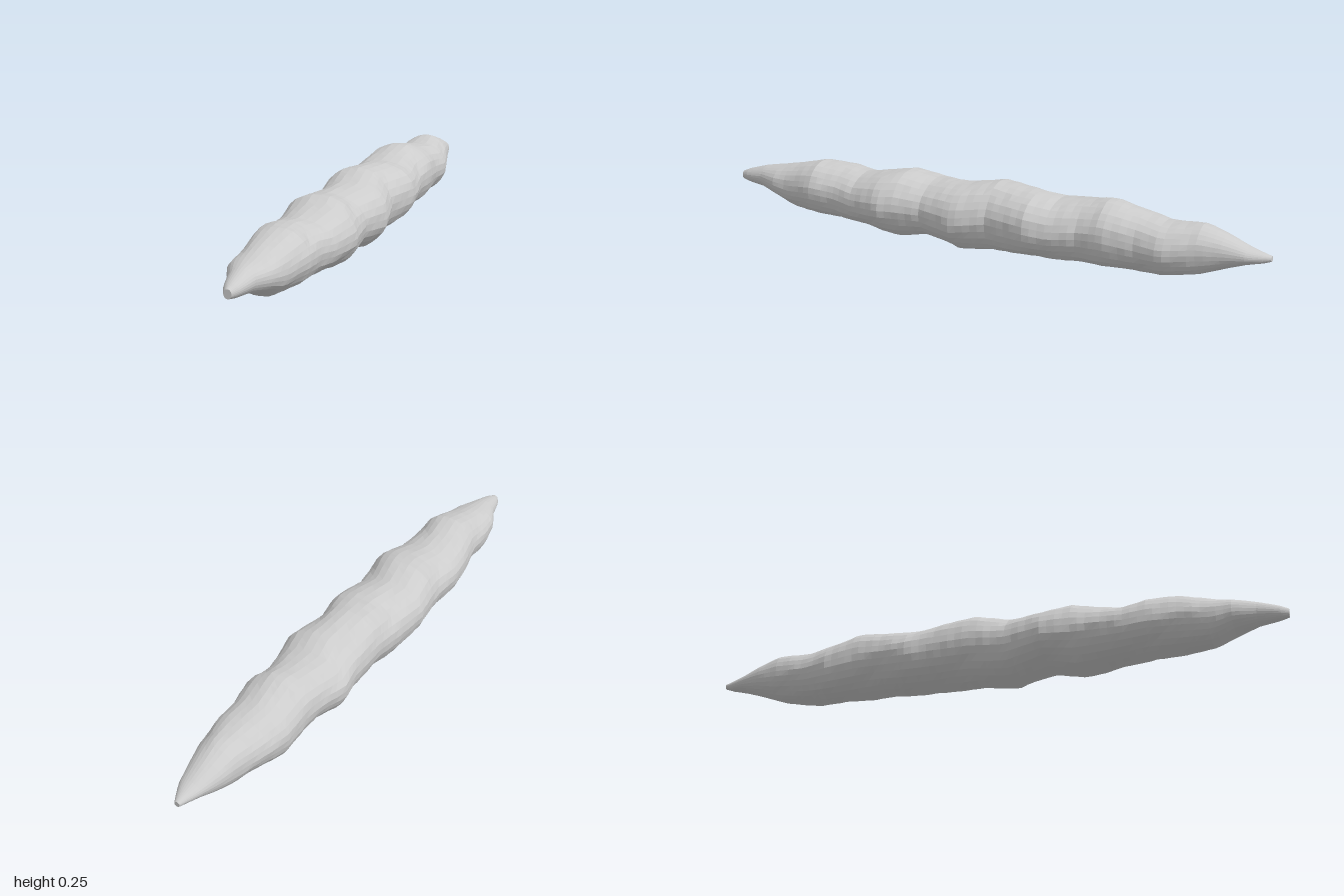
import * as THREE from 'three';

// Outline stations along the loaf: z, left x, right x, bottom y, top y
const STATIONS = [
  [1, -0.012, 0.014, 0.115, 0.145],
  [0.97, -0.028, 0.028, 0.108, 0.158],
  [0.9, -0.048, 0.045, 0.1, 0.178],
  [0.83, -0.084, 0.076, 0.08, 0.19],
  [0.76, -0.095, 0.085, 0.045, 0.205],
  [0.65, -0.103, 0.112, 0.044, 0.232],
  [0.55, -0.125, 0.108, 0.038, 0.225],
  [0.47, -0.132, 0.122, 0.03, 0.213],
  [0.36, -0.13, 0.148, 0.022, 0.235],
  [0.3, -0.136, 0.135, 0.014, 0.245],
  [0.2, -0.15, 0.12, 0.03, 0.226],
  [0.07, -0.133, 0.146, 0.004, 0.232],
  [-0.05, -0.13, 0.118, 0.016, 0.252],
  [-0.2, -0.132, 0.145, 0.022, 0.24],
  [-0.28, -0.146, 0.13, 0.018, 0.226],
  [-0.38, -0.126, 0.112, 0.028, 0.236],
  [-0.46, -0.122, 0.121, 0.026, 0.25],
  [-0.58, -0.122, 0.102, 0.022, 0.222],
  [-0.66, -0.102, 0.111, 0.032, 0.206],
  [-0.78, -0.084, 0.078, 0.05, 0.214],
  [-0.86, -0.068, 0.056, 0.08, 0.188],
  [-0.93, -0.045, 0.038, 0.105, 0.16],
  [-0.98, -0.026, 0.012, 0.115, 0.146],
  [-1, -0.02, 0, 0.122, 0.14],
];

function outlineAt(z) {
  let i = 0;
  while (i < STATIONS.length - 2 && z < STATIONS[i + 1][0]) i++;
  const a = STATIONS[i], b = STATIONS[i + 1];
  const t = (a[0] - z) / (a[0] - b[0]);
  return a.map((v, k) => THREE.MathUtils.lerp(v, b[k], t));
}

// Point on the twisted skin; bulges wind around the loaf
function skinPoint(z, angle, grow) {
  const [, left, right, bottom, top] = outlineAt(z);
  const cx = (left + right) * 0.5, cy = (bottom + top) * 0.5;
  const fade = Math.min(1, (1 - Math.abs(z)) * 4);
  const diagonal = Math.sin(2 * angle) ** 2;
  const fold = Math.abs(Math.sin(z * 9.4 + angle)) - 0.55;
  const grain = Math.sin(z * 61 + angle * 5) * Math.sin(z * 37 - angle * 8);
  const r = grow * (1 + fade * (0.09 * diagonal * fold + 0.013 * grain));
  return [
    cx + Math.cos(angle) * r * (right - left) * 0.5,
    cy + Math.sin(angle) * r * (top - bottom) * 0.5,
    z,
  ];
}

export function createModel() {
  const group = new THREE.Group();
  group.name = 'twistedBreadstick';
  const rings = 80, sides = 28;
  const positions = [], indices = [];

  // Rings from front tip to back tip, closed by collapsed end rings
  for (let i = -1; i <= rings + 1; i++) {
    const z = 1 - 2 * THREE.MathUtils.clamp(i / rings, 0, 1);
    const grow = i < 0 || i > rings ? 0 : 1;
    for (let j = 0; j < sides; j++) {
      positions.push(...skinPoint(z, (j / sides) * Math.PI * 2, grow));
    }
  }
  for (let i = 0; i < rings + 2; i++) {
    for (let j = 0; j < sides; j++) {
      const a = i * sides + j, b = i * sides + ((j + 1) % sides);
      const c = a + sides, d = b + sides;
      if (i <= rings) indices.push(a, c, d);
      if (i > 0) indices.push(a, d, b);
    }
  }

  const geometry = new THREE.BufferGeometry();
  geometry.setAttribute('position', new THREE.Float32BufferAttribute(positions, 3));
  geometry.setIndex(indices);
  geometry.computeVertexNormals();
  const loaf = new THREE.Mesh(
    geometry,
    new THREE.MeshStandardMaterial({ color: 0xcccccc, flatShading: true }),
  );
  loaf.name = 'loaf';
  group.add(loaf);
  return group;
}
